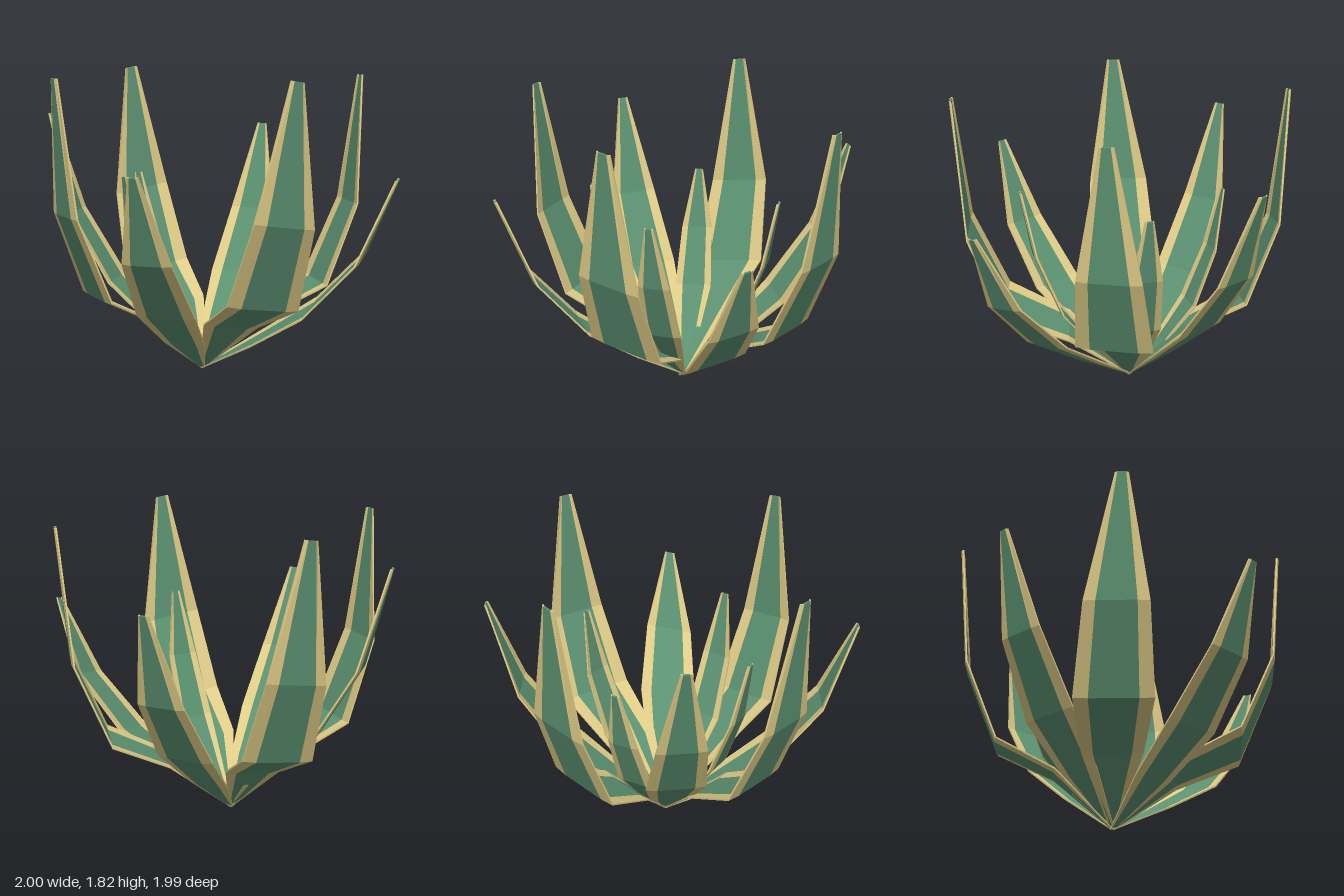
import * as THREE from 'three';

const GREEN = 0x5c9272, CREAM = 0xdecb86;
const BASE = new THREE.Vector3(-0.03, 0.01, -0.05);

// Each whorl: fractions of reach and height at five stations, with full widths
const TALL = { reach: [0, 0.36, 0.725, 0.93, 1], rise: [0, 0.185, 0.285, 0.56, 1], width: [0.03, 0.35, 0.45, 0.37, 0.08] };
const MIDDLE = { reach: [0, 0.29, 0.57, 0.83, 1], rise: [0, 0.17, 0.345, 0.615, 1], width: [0.03, 0.25, 0.355, 0.29, 0.06] };
const INNER = { reach: [0, 0.35, 0.65, 0.88, 1], rise: [0, 0.18, 0.38, 0.68, 1], width: [0.02, 0.15, 0.23, 0.19, 0.05] };
const SWAY = [0, 0.6, 1, 0.85, 0];

// name, whorl, tip position, then optional sideways bend, tilt and yaw
const LEAVES = [
  ['frontTallLeaf', TALL, [0.025, 1.8, 0.985], -0.03, -0.15, 0.07],
  ['backTallLeaf', TALL, [-0.09, 1.82, -0.99], -0.045, -0.15],
  ['leftTallLeaf', TALL, [0.985, 1.79, 0.11], 0, 0, 0.07],
  ['rightTallLeaf', TALL, [-0.99, 1.8, 0.02], -0.03, 0, 0.07],
  ['backRightLeaf', MIDDLE, [-0.77, 1.56, -0.66]],
  ['backLeftLeaf', MIDDLE, [0.76, 1.44, -0.74]],
  ['frontRightLeaf', MIDDLE, [-0.83, 1.31, 0.75]],
  ['frontLeftLeaf', MIDDLE, [0.78, 1.22, 0.83], 0, 0.2],
  ['innerBackLeaf', INNER, [-0.2, 1.17, -0.63]],
  ['innerLeftLeaf', INNER, [0.555, 1.23, -0.14]],
  ['innerRightLeaf', INNER, [-0.59, 1.23, 0.07]],
  ['innerFrontLeaf', INNER, [0.08, 1.25, 0.6]],
];

function flatMesh(name, points, color) {
  const geometry = new THREE.BufferGeometry().setFromPoints(points);
  geometry.computeVertexNormals();
  const mesh = new THREE.Mesh(geometry, new THREE.MeshStandardMaterial({ color, flatShading: true }));
  mesh.name = name;
  return mesh;
}

// Thin, slightly cupped section: half width w, half width of the green stripe g
function section(w) {
  const g = w * 0.62, d = Math.min(0.008, w * 0.25), t = Math.min(0.01, w * 0.5);
  return [[-w, 0], [-g, -d], [g, -d], [w, 0], [w, t], [g, t - d], [-g, t - d], [-w, t]];
}

function makeLeaf(name, whorl, tip, bend = 0, tilt = 0, yaw = 0) {
  const span = new THREE.Vector3(...tip).sub(BASE);
  const up = new THREE.Vector3(0, 1, 0);
  const radial = new THREE.Vector3(span.x, 0, span.z).normalize();
  const side = up.clone().cross(radial);
  const lean = side.clone().addScaledVector(up, tilt).addScaledVector(radial, yaw);
  const spine = whorl.reach.map((r, i) =>
    new THREE.Vector3(span.x * r, span.y * whorl.rise[i], span.z * r)
      .add(BASE).addScaledVector(side, bend * SWAY[i]));

  const rings = spine.map((p, i) => {
    const tangent = spine[Math.min(i + 1, 4)].clone().sub(spine[Math.max(i - 1, 0)]).normalize();
    const normal = tangent.clone().cross(lean).normalize();
    return section(whorl.width[i] / 2).map(([a, b]) =>
      p.clone().addScaledVector(lean, a).addScaledVector(normal, b));
  });

  const blade = [], margin = [];
  const quad = (list, a, b, c, d) => list.push(a, b, c, a, c, d);
  for (let k = 0; k < 4; k++) {
    for (let i = 0; i < 8; i++) {
      const j = (i + 1) % 8;
      quad(i === 1 || i === 5 ? blade : margin, rings[k][i], rings[k][j], rings[k + 1][j], rings[k + 1][i]);
    }
  }
  // Blunt tip
  const e = rings[4];
  quad(blade, e[1], e[2], e[5], e[6]);
  quad(margin, e[0], e[1], e[6], e[7]);
  quad(margin, e[2], e[3], e[4], e[5]);

  const leaf = new THREE.Group();
  leaf.name = name;
  leaf.add(flatMesh('blade', blade, GREEN), flatMesh('margins', margin, CREAM));
  return leaf;
}

export function createModel() {
  const plant = new THREE.Group();
  plant.name = 'rosettePlant';
  for (const leaf of LEAVES) plant.add(makeLeaf(...leaf));
  return plant;
}
